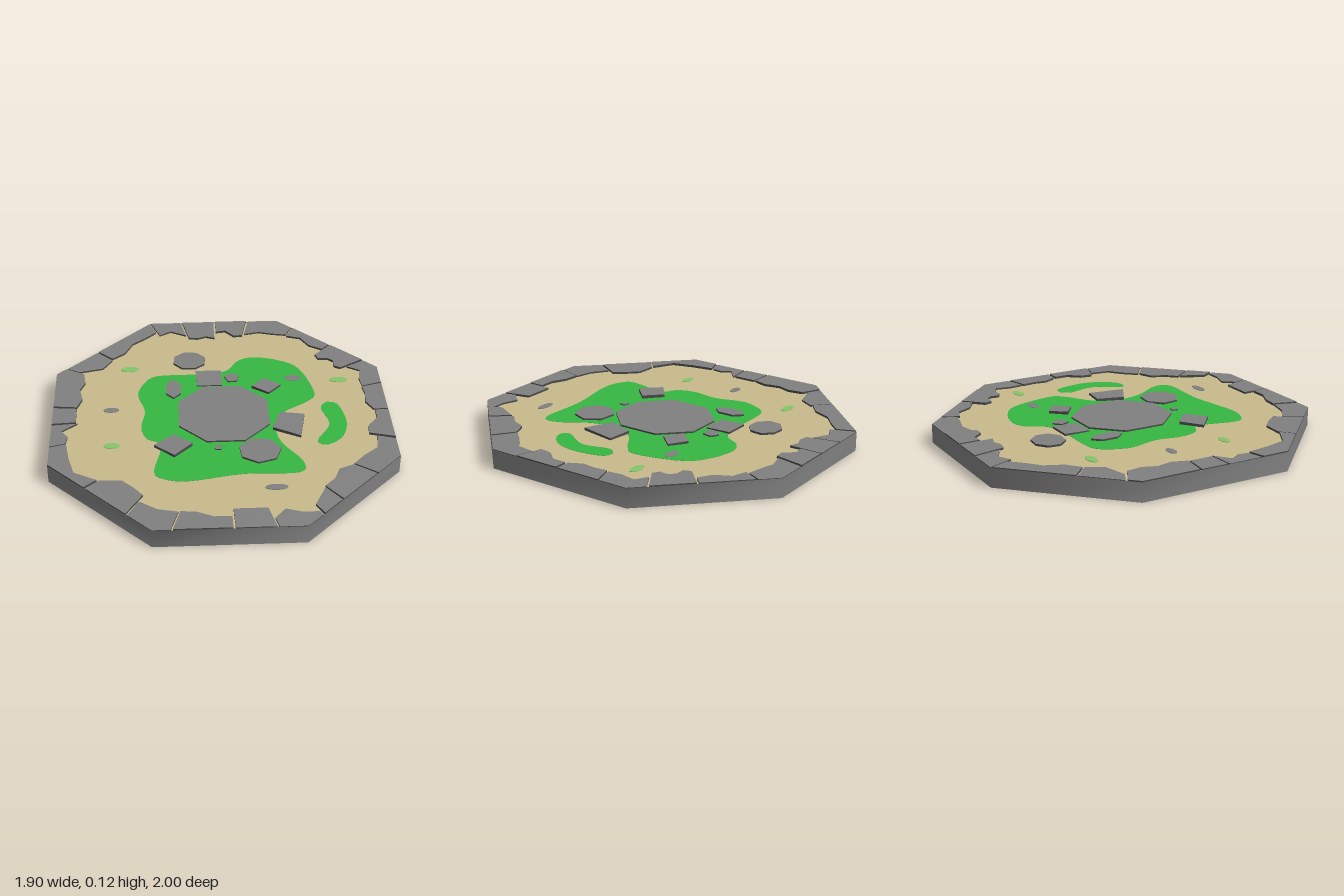
import * as THREE from 'three';

const mat = (name, color) => {
  const m = new THREE.MeshStandardMaterial({ color, side: THREE.DoubleSide });
  m.name = name;
  return m;
};
const GROUND = 0.1;

// flat list [x, z, x, z, ...] to plan points (x, -z)
function plan(flat) {
  const pts = [];
  for (let i = 0; i < flat.length; i += 2) pts.push(new THREE.Vector2(flat[i], -flat[i + 1]));
  return pts;
}
// regular polygon squeezed to an oval: centre, half sizes, sides, turn
function polygon(x, z, rx, rz, sides, turn) {
  return Array.from({ length: sides }, (_, i) => {
    const a = turn + (i / sides) * Math.PI * 2;
    return new THREE.Vector2(x + rx * Math.cos(a), -z + rz * Math.sin(a));
  });
}
// horizontal sheet filling an outline
const sheet = (pts) => new THREE.ShapeGeometry(new THREE.Shape(pts)).rotateX(-Math.PI / 2);

// upright band around an outline; its top height depends on the point
function band(pts, y0, topAt, smooth) {
  const pos = [], index = [], n = pts.length;
  pts.forEach((p, i) => {
    pos.push(p.x, y0, -p.y, p.x, topAt(p), -p.y);
    const a = 2 * i, b = 2 * ((i + 1) % n);
    index.push(a, b, b + 1, a, b + 1, a + 1);
  });
  let g = new THREE.BufferGeometry();
  g.setAttribute('position', new THREE.Float32BufferAttribute(pos, 3));
  g.setIndex(index);
  if (!smooth) g = g.toNonIndexed();
  g.computeVertexNormals();
  return g;
}

export function createModel() {
  const sand = mat('sand', 0xc9ba8b);
  const grass = mat('grass green', 0x36b642);
  const lightGrass = mat('light green', 0x85c56a);
  const stone = mat('stone grey', 0x808080);
  const darkStone = mat('dark stone edge', 0x4c4c4c);

  const model = new THREE.Group();
  model.name = 'stonePlatform';

  function add(parent, geometry, material, name) {
    const mesh = new THREE.Mesh(geometry, material);
    mesh.name = name;
    parent.add(mesh);
  }
  // paving stone with a slightly tilted top and a skirt under the ground
  function addStone(parent, points, name, height, tiltX = 0, tiltZ = 0) {
    const pts = THREE.ShapeUtils.isClockWise(points) ? [...points].reverse() : points;
    const mid = new THREE.Vector2();
    pts.forEach((p) => mid.addScaledVector(p, 1 / pts.length));
    const topAt = (p) => GROUND + height + tiltX * (p.x - mid.x) - tiltZ * (p.y - mid.y);
    const group = new THREE.Group();
    group.name = name;
    parent.add(group);
    const top = sheet(pts);
    const pos = top.attributes.position;
    for (let i = 0; i < pos.count; i++) {
      pos.setY(i, topAt(new THREE.Vector2(pos.getX(i), -pos.getZ(i))));
    }
    top.computeVertexNormals();
    add(group, top, stone, name + 'Top');
    add(group, band(pts, GROUND, topAt), darkStone, name + 'Edge');
    add(group, band(pts, GROUND - 0.01, () => GROUND), stone, name + 'Skirt');
  }
  // thin painted patch that shows on both faces of the ground
  function addPatch(pts, material, name, lift) {
    const g = new THREE.ExtrudeGeometry(new THREE.Shape(pts), { depth: 2 * lift, bevelEnabled: false });
    g.translate(0, 0, -lift).rotateX(-Math.PI / 2).translate(0, GROUND, 0);
    add(model, g, material, name);
  }

  // octagonal wall and ground sheet, open underneath; corners run clockwise seen from above
  const corners = plan([-0.395, -1, 0.395, -1, 0.95, -0.44, 0.95, 0.44, 0.395, 1, -0.395, 1, -0.95, 0.44, -0.95, -0.44]);
  const rim = [...corners].reverse();
  add(model, band(rim, 0, () => 0.107, true), stone, 'outerWall');
  add(model, sheet(rim).translate(0, GROUND, 0), sand, 'ground');

  // grass areas with rounded outlines
  const lawns = [
    [-0.44, -0.33, -0.36, -0.41, -0.1, -0.42, 0.05, -0.45, 0.12, -0.55, 0.21, -0.59, 0.35, -0.56, 0.48, -0.46,
      0.55, -0.2, 0.5, -0.11, 0.36, -0.01, 0.3, 0.12, 0.32, 0.28, 0.42, 0.45, 0.39, 0.55, 0.1, 0.55,
      -0.2, 0.6, -0.34, 0.57, -0.38, 0.5, -0.34, 0.28, -0.42, 0.21, -0.45, 0.1, -0.43, -0.05, -0.47, -0.22],
    [0.61, -0.1, 0.67, -0.07, 0.7, 0.1, 0.66, 0.24, 0.57, 0.31, 0.52, 0.27, 0.6, 0.12, 0.57, -0.04],
  ];
  lawns.forEach((flat, i) => {
    const curve = new THREE.SplineCurve(plan([...flat, flat[0], flat[1]]));
    addPatch(curve.getPoints(120).slice(0, -1), grass, 'grassPatch' + (i + 1), 0.0015);
  });

  // small oval spots: x, z, half width, half depth
  const spots = (list, material, name) => list.forEach(([x, z, rx, rz], i) =>
    addPatch(polygon(x, z, rx, rz, 20, 0), material, name + (i + 1), 0.003));
  spots([[-0.52, -0.49, 0.053, 0.027], [0.705, -0.325, 0.052, 0.027], [-0.61, 0.27, 0.044, 0.025]], lightGrass, 'lightGrassSpot');
  spots([[-0.62, -0.07, 0.044, 0.023], [0.26, 0.67, 0.06, 0.024], [0.44, -0.355, 0.05, 0.028]], stone, 'flatPebble');

  // ring of border stones: start along the rim (side number + fraction), then inward depths in percent
  const border = [
    [0, 14, 10, 15], [0.25, 18, 19, 17, 19], [0.51, 12, 11, 17, 17], [0.77, 15, 13, 14, 9],
    [1.17, 10, 6, 9, 7], [1.55, 15, 17, 13, 13, 17, 16], [1.87, 12, 10, 13, 12],
    [2.2, 12.5, 11.5, 12.5, 8.5], [2.51, 8, 8, 14, 15], [2.82, 10.5, 12, 15, 14.5],
    [3.27, 14, 17.5, 14, 14], [3.65, 13, 8], [3.85, 3, 9, 14, 7],
    [4.2, 15, 15], [4.48, 9, 9, 13, 14], [4.88, 14, 14, 12],
    [5.24, 17, 18, 18, 10], [5.64, 9, 5, 11.5, 9.5],
    [6.19, 9, 10, 6, 15], [6.43, 14, 14], [6.62, 14, 17, 15, 18, 12],
    [7.11, 8, 15.5, 13], [7.43, 12, 13, 9, 10, 10],
  ];
  const GAP = 0.015;
  const rimAt = (s, depth) => {
    const i = Math.floor(s);
    return corners[i % 8].clone().lerp(corners[(i + 1) % 8], s - i).multiplyScalar(0.999 - depth / 100);
  };
  const borderGroup = new THREE.Group();
  borderGroup.name = 'borderStones';
  model.add(borderGroup);
  border.forEach(([start, ...depths], i) => {
    const end = (i + 1 < border.length ? border[i + 1][0] : 8) - GAP;
    const pts = [rimAt(start, 0)];
    for (let c = Math.floor(start) + 1; c < end; c++) pts.push(rimAt(c, 0));
    pts.push(rimAt(end, 0));
    const inner = depths.map((d, k) => rimAt(start + ((end - start) * k) / (depths.length - 1), d));
    addStone(borderGroup, [...pts, ...inner.reverse()], 'borderStone' + (i + 1), 0.01 + 0.002 * (i % 3));
  });

  // central slab repeats the platform's octagon
  const centre = new THREE.Vector2(0.015, 0.005);
  addStone(model, rim.map((p) => p.clone().multiplyScalar(0.267).add(centre)), 'centreSlab', 0.011);

  // loose paving stones around it: outline, height, tilt along x, tilt along z
  const loose = [
    [polygon(-0.165, -0.56, 0.1, 0.092, 8, 0.3), 0.012],
    [polygon(-0.055, -0.365, 0.106, 0.106, 4, Math.PI / 4), 0.01, 0, -0.03],
    [polygon(0.08, -0.365, 0.045, 0.047, 5, 0.4), 0.01],
    [polygon(0.275, -0.265, 0.085, 0.075, 4, 0.1), 0.016, -0.04, 0],
    [polygon(-0.265, -0.26, 0.05, 0.095, 6, Math.PI / 2), 0.012],
    [plan([0.33, 0.01, 0.47, 0.03, 0.43, 0.24, 0.28, 0.16]), 0.016, -0.03, 0.01],
    [polygon(0.195, 0.355, 0.118, 0.112, 7, 0.1), 0.012],
    [plan([-0.27, 0.2, -0.17, 0.29, -0.27, 0.39, -0.38, 0.29]), 0.018, 0.03, 0],
    [polygon(-0.03, 0.315, 0.025, 0.026, 4, 0.6), 0.008],
  ];
  loose.forEach(([pts, ...rest], i) => addStone(model, pts, 'pavingStone' + (i + 1), ...rest));

  return model;
}
